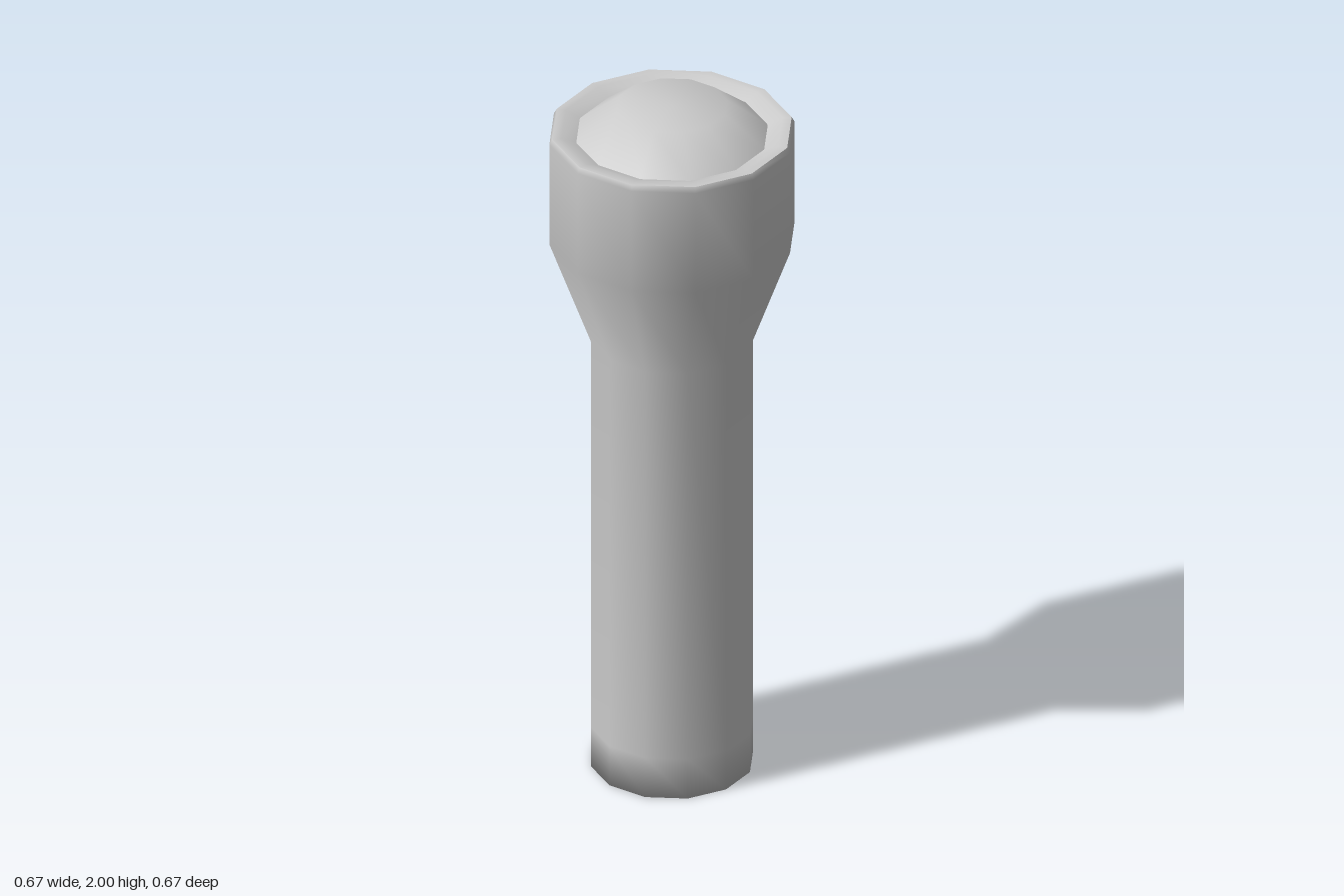
import * as THREE from 'three';

const SIDES = 12;

// Smooth twelve-sided solid of revolution from [radius, height] pairs, bottom to top
function turned(name, profile, material) {
  const points = profile.map(([r, y]) => new THREE.Vector2(r, y));
  const mesh = new THREE.Mesh(new THREE.LatheGeometry(points, SIDES), material);
  mesh.name = name;
  return mesh;
}

export function createModel() {
  const group = new THREE.Group();
  group.name = 'flashlight';
  const grey = new THREE.MeshStandardMaterial({ color: 0xcccccc });

  // Handle, flare and head in one continuous skin
  group.add(turned('body', [
    [0, 0], [0.22, 0], [0.22, 0.12], [0.22, 1.3],
    [0.333, 1.61], [0.333, 1.915], [0.325, 1.93],
  ], grey));

  // Flat lip that dips inward to the lens
  group.add(turned('bezel', [[0.26, 1.913], [0.3, 1.93], [0.325, 1.93]].reverse(), grey));

  // Shallow domed lens
  group.add(turned('lens', [[0.26, 1.913], [0.15, 2], [0, 2]], grey));

  return group;
}
